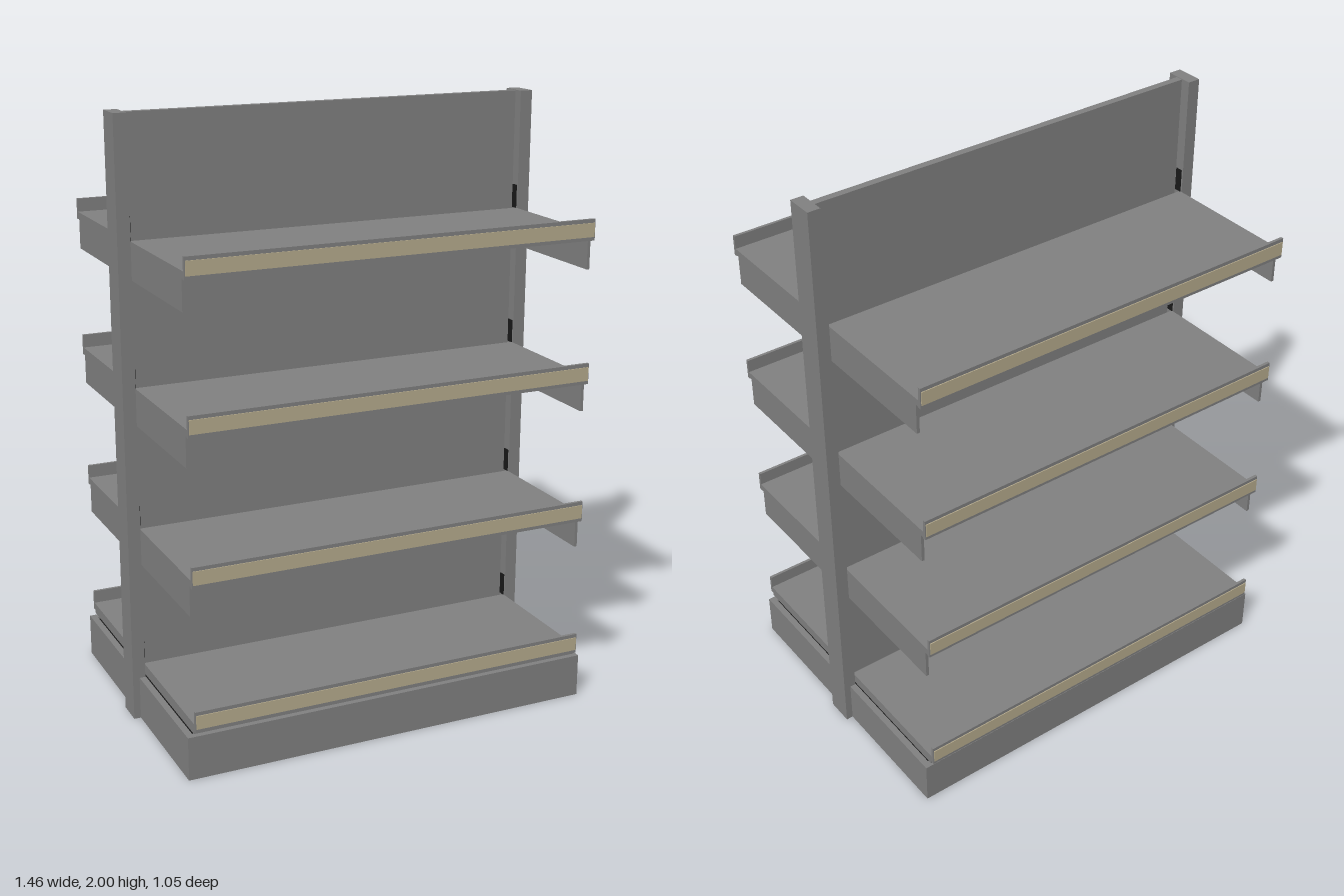
import * as THREE from 'three';

const metal = new THREE.MeshStandardMaterial({ color: 0x808080 });
metal.name = 'grey metal';
const tan = new THREE.MeshStandardMaterial({ color: 0xb5aa8c });
tan.name = 'tan price strip';
const black = new THREE.MeshStandardMaterial({ color: 0x191919 });
black.name = 'black';

// Box given by its minimum and maximum on each axis
function box(parent, name, material, [x0, x1], [y0, y1], [z0, z1]) {
  const mesh = new THREE.Mesh(new THREE.BoxGeometry(x1 - x0, y1 - y0, z1 - z0), material);
  mesh.position.set((x0 + x1) / 2, (y0 + y1) / 2, (z0 + z1) / 2);
  mesh.name = name;
  parent.add(mesh);
}

// Range on either side of zero, kept in ascending order
const span = (side, a, b) => (side > 0 ? [a, b] : [-b, -a]);

// Shelf tray with a raised front lip, extruded along x; y = 0 is its underside
function trayGeometry() {
  const profile = [[0.036, 0], [0.507, 0], [0.507, -0.003], [0.52, -0.003],
    [0.52, 0.066], [0.51, 0.066], [0.51, 0.022], [0.036, 0.022]];
  const shape = new THREE.Shape(profile.map(([z, y]) => new THREE.Vector2(-z, y)));
  const geometry = new THREE.ExtrudeGeometry(shape, { depth: 1.37, bevelEnabled: false });
  geometry.translate(0, 0, -0.685);
  geometry.rotateY(Math.PI / 2);
  return geometry;
}

export function createModel() {
  const model = new THREE.Group();
  model.name = 'doubleSidedShelving';

  // Uprights and back panel
  for (const side of [1, -1]) {
    box(model, 'upright', metal, span(side, 0.685, 0.728), [0, 2], [-0.046, 0.046]);
  }
  box(model, 'backPanel', metal, [-0.686, 0.686], [0.1, 1.998], [-0.012, 0.012]);

  // Hollow plinth with a dark core
  for (const side of [1, -1]) {
    box(model, 'plinthLongWall', metal, [-0.705, 0.705], [0, 0.145], span(side, 0.483, 0.506));
    box(model, 'plinthEndWall', metal, span(side, 0.683, 0.705), [0, 0.145], [-0.483, 0.483]);
  }
  box(model, 'plinthCore', black, [-0.683, 0.683], [0.004, 0.138], [-0.483, 0.483]);

  // Shelves, front and back
  const tray = trayGeometry();
  const levels = [0.168, 0.643, 1.115, 1.585];
  for (const facing of [1, -1]) {
    levels.forEach((y, level) => {
      const shelf = new THREE.Group();
      shelf.name = facing > 0 ? 'frontShelf' : 'backShelf';
      shelf.position.y = y;
      shelf.rotation.y = facing > 0 ? 0 : Math.PI;
      model.add(shelf);
      const mesh = new THREE.Mesh(tray, metal);
      mesh.name = 'shelfTray';
      shelf.add(mesh);
      box(shelf, 'priceStrip', tan, [-0.682, 0.682], [0.009, 0.054], [0.519, 0.523]);

      for (const side of [1, -1]) {
        // Dark slot in the upright above the shelf
        box(shelf, 'uprightSlot', black, span(side, 0.682, 0.687), [0.022, 0.1], [0.016, 0.04]);
        if (level === 0) continue;
        // Side bracket with a narrow top flange
        box(shelf, 'bracket', metal, span(side, 0.675, 0.685), [-0.1, 0], [0.04, 0.497]);
        box(shelf, 'bracketFlange', metal, span(side, 0.663, 0.675), [-0.006, 0], [0.04, 0.497]);
      }
      if (level === 0) {
        // Lower rim under the bottom tray
        box(shelf, 'bottomTrayRim', metal, [-0.685, 0.685], [-0.013, 0], [0.036, 0.505]);
      } else {
        // Dark locking clip at one end
        box(shelf, 'lockingClip', black, span(-facing, 0.645, 0.675), [-0.03, -0.006], [0.04, 0.06]);
      }
    });
  }
  return model;
}
